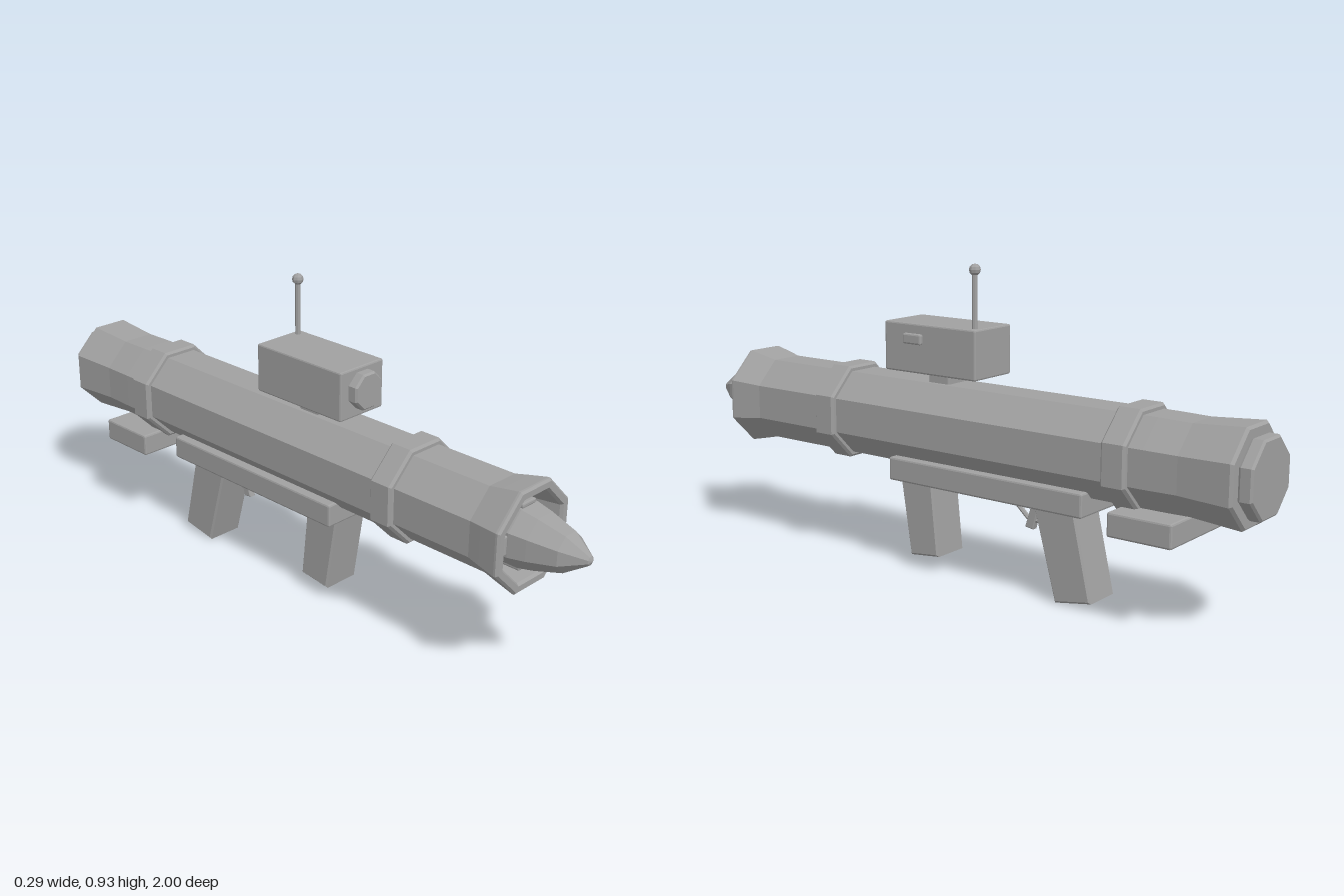
import * as THREE from 'three';
import { RoundedBoxGeometry } from 'three/addons/geometries/RoundedBoxGeometry.js';

const AXIS_Y = 0.45;

export function createModel() {
  const model = new THREE.Group();
  model.name = 'launcher';
  const grey = new THREE.MeshStandardMaterial({ color: 0xa0a0a0 });
  grey.name = 'grey';
  grey.flatShading = true;

  const add = (name, geometry, x = 0, y = 0, z = 0) => {
    const mesh = new THREE.Mesh(geometry, grey);
    mesh.name = name;
    mesh.position.set(x, y, z);
    model.add(mesh);
    return mesh;
  };

  // Softly bevelled box given by its limits on each axis
  const box = (name, [x0, x1], [y0, y1], [z0, z1], bevel = 0.006) =>
    add(name, new RoundedBoxGeometry(x1 - x0, y1 - y0, z1 - z0, 1, bevel),
      (x0 + x1) / 2, (y0 + y1) / 2, (z0 + z1) / 2);

  // Octagonal solid along z; profile pairs are [distance to flat side, z], back to front
  const octagon = (name, profile, y = AXIS_Y) => {
    const points = profile.map(([r, z]) => new THREE.Vector2(r / Math.cos(Math.PI / 8), z));
    const geometry = new THREE.LatheGeometry(points, 8, Math.PI / 8).rotateX(Math.PI / 2);
    return add(name, geometry, 0, y, 0);
  };

  // Side outline of [z, y] corners extruded across x
  const sidePlate = (name, corners, width, bevel) => {
    const shape = new THREE.Shape(corners.map(([z, y]) => new THREE.Vector2(-z, y)));
    const geometry = new THREE.ExtrudeGeometry(shape, {
      depth: width - 2 * bevel, bevelSize: bevel, bevelThickness: bevel,
      bevelOffset: -bevel, bevelSegments: 1,
    });
    geometry.translate(0, 0, bevel - width / 2).rotateY(Math.PI / 2);
    return add(name, geometry);
  };

  // Main tube with flared ends and a hollow muzzle
  octagon('tube', [
    [0, -0.96], [0.128, -0.96], [0.135, -0.952], [0.124, -0.8], [0.126, -0.7],
    [0.126, 0.71], [0.135, 0.75], [0.147, 0.808], [0.147, 0.814], [0.141, 0.82],
    [0.124, 0.82], [0.118, 0.812], [0.104, 0.7], [0, 0.7],
  ]);
  octagon('rearCap', [[0, -1], [0.1, -1], [0.106, -0.994], [0.106, -0.966], [0.1, -0.955]]);

  // Reinforcing bands
  for (const [name, z] of [['frontBand', 0.413], ['rearBand', -0.618]]) {
    octagon(name, [
      [0.12, z - 0.038], [0.135, z - 0.038], [0.142, z - 0.031],
      [0.142, z + 0.031], [0.135, z + 0.038], [0.12, z + 0.038],
    ]);
  }

  // Rocket and its four small fins
  octagon('rocket', [
    [0.084, 0.69], [0.084, 0.8], [0.074, 0.85], [0.052, 0.93], [0.012, 0.994], [0, 1],
  ]);
  for (let i = 0; i < 4; i++) {
    const angle = i * Math.PI / 2;
    const fin = add('rocketFin', new RoundedBoxGeometry(0.056, 0.014, 0.09, 1, 0.004),
      Math.sin(angle) * 0.09, AXIS_Y + Math.cos(angle) * 0.09, 0.755);
    fin.rotation.z = -angle;
  }

  // Underside rail and shoulder rest
  box('gripRail', [-0.102, 0.102], [0.275, 0.346], [-0.5, 0.185]);
  box('shoulderRest', [-0.142, 0.142], [0.256, 0.325], [-0.8, -0.605]);

  // Hand grips
  sidePlate('frontGrip', [[0.137, 0.04], [0.03, 0.052], [0.055, 0.29], [0.177, 0.29]], 0.124, 0.006);
  sidePlate('rearGrip', [[-0.39, 0.003], [-0.51, 0.024], [-0.448, 0.29], [-0.31, 0.29]], 0.124, 0.006);

  // Trigger and guard
  sidePlate('trigger', [[-0.25, 0.188], [-0.278, 0.184], [-0.305, 0.285], [-0.28, 0.285]], 0.022, 0.003);
  const guardPath = new THREE.CurvePath();
  const bends = [[-0.18, 0.285], [-0.215, 0.25], [-0.262, 0.208], [-0.35, 0.216]]
    .map(([z, y]) => new THREE.Vector3(0, y, z));
  for (let i = 0; i < 3; i++) guardPath.add(new THREE.LineCurve3(bends[i], bends[i + 1]));
  add('triggerGuard', new THREE.TubeGeometry(guardPath, 12, 0.007, 6));

  // Sight box with bracket, lens and side button
  box('sightBracket', [-0.04, 0.04], [0.565, 0.615], [0.005, 0.08], 0.004);
  box('sightBox', [-0.085, 0.085], [0.606, 0.752], [-0.125, 0.21], 0.005);
  octagon('sightLens', [
    [0.053, 0.2], [0.053, 0.234], [0.048, 0.24], [0, 0.24],
  ], 0.685);
  box('sideButton', [0.075, 0.097], [0.692, 0.723], [0.066, 0.133], 0.005);

  // Antenna
  add('antennaRod', new THREE.CylinderGeometry(0.008, 0.008, 0.17, 8), 0.057, 0.835, -0.103);
  add('antennaBall', new THREE.SphereGeometry(0.017, 8, 6), 0.057, 0.919, -0.103);

  return model;
}
